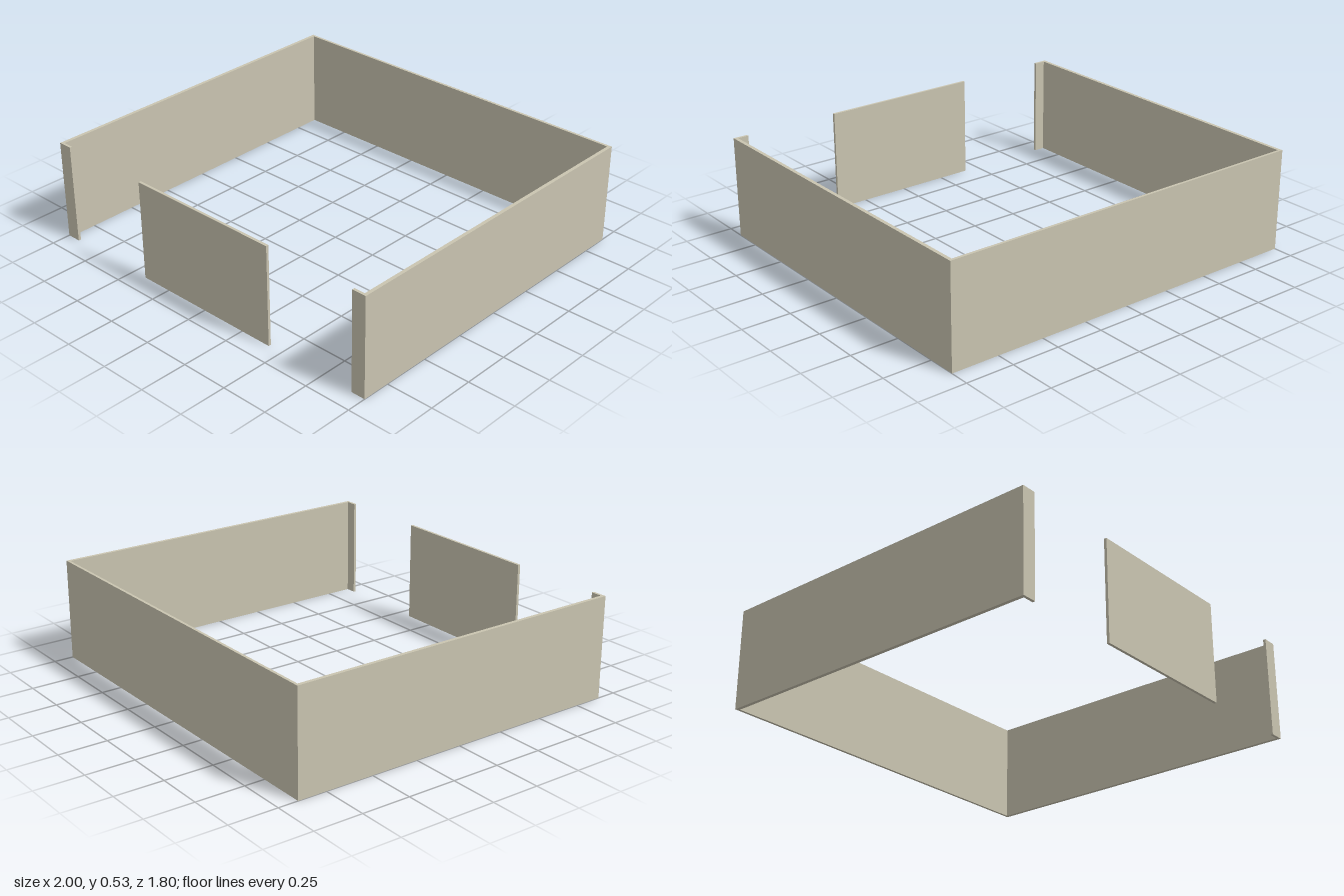
import * as THREE from 'three';

export function createModel() {
  const model = new THREE.Group();
  model.name = 'roomWalls';
  const plaster = new THREE.MeshStandardMaterial({ color: 0xc9c4b0 });
  plaster.name = 'beigePlaster';

  const H = 0.526, X = 1, Z = 0.898; // wall height and outer half extents
  const T = 0.014, SIDE = 0.018; // thickness of front/back and side walls

  // Upright wall standing on the floor, given by its plan rectangle
  function wall(name, x0, x1, z0, z1) {
    const mesh = new THREE.Mesh(new THREE.BoxGeometry(x1 - x0, H, z1 - z0), plaster);
    mesh.position.set((x0 + x1) / 2, H / 2, (z0 + z1) / 2);
    mesh.name = name;
    model.add(mesh);
  }

  // Back wall across the full width
  wall('backWall', -X, X, -Z, -Z + T);

  // Free-standing front panel between the two openings
  wall('frontPanel', -0.418, 0.422, Z - T, Z);

  // Side walls, each with a short return at the front corner
  wall('leftWall', X - SIDE, X, -Z + T, Z);
  wall('rightWall', -X, -X + SIDE, -Z + T, Z);
  wall('leftFrontReturn', 0.925, X - SIDE, Z - T, Z);
  wall('rightFrontReturn', -X + SIDE, -0.925, Z - T, Z);

  return model;
}
